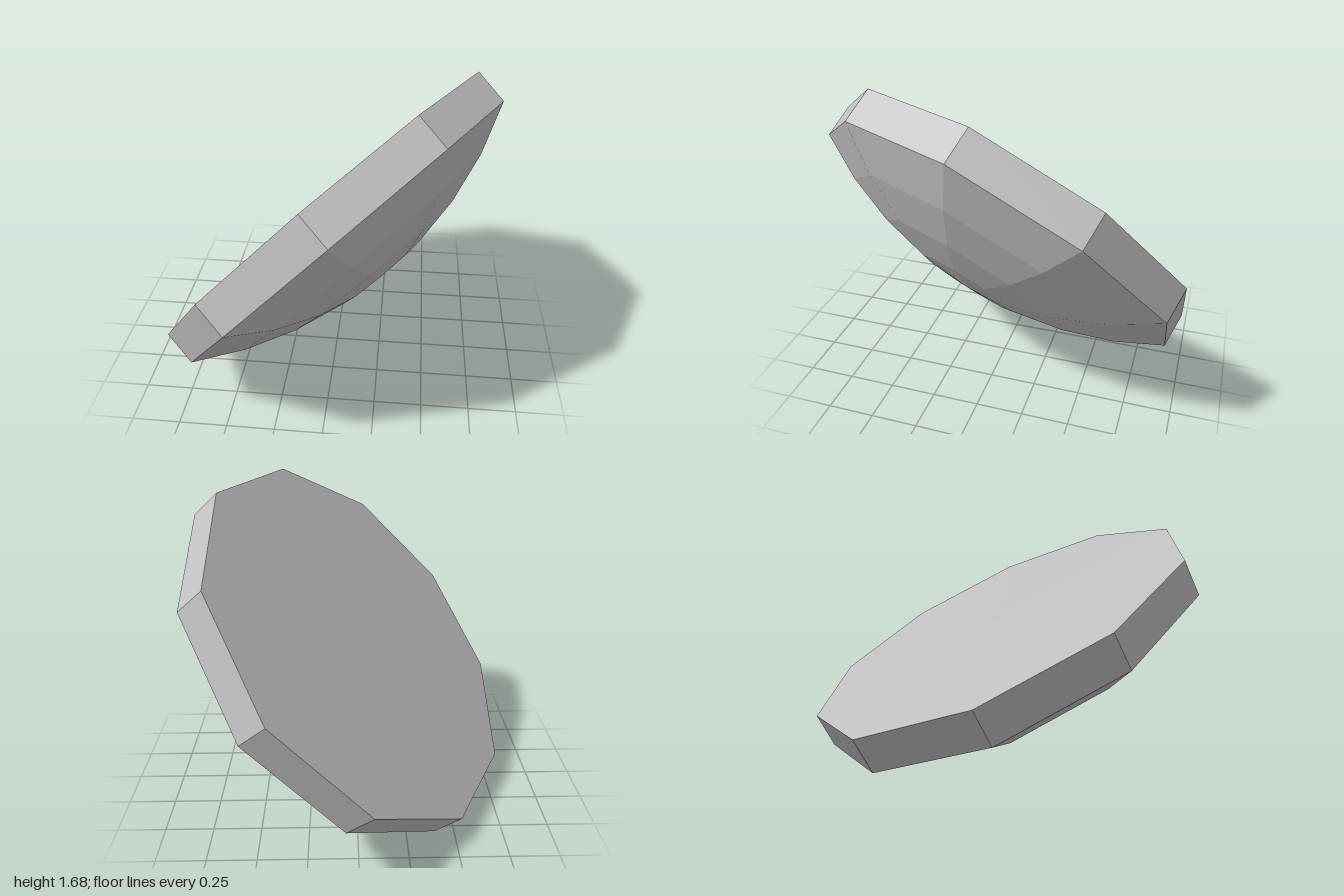
import * as THREE from 'three';

const SIDES = 10;
const RADIUS = 1.07;    // rim radius
const THICKNESS = 0.187; // height of the straight rim
const DOME = 0.3;       // depth of the shallow dome
const RINGS = 4;

export function createModel() {
  const group = new THREE.Group();
  const grey = new THREE.MeshStandardMaterial({ color: 0xc0c0c0, flatShading: true });
  grey.name = 'grey';

  const disc = new THREE.Group();
  disc.name = 'tiltedDisc';
  group.add(disc);

  const addLathe = (name, points) => {
    const mesh = new THREE.Mesh(new THREE.LatheGeometry(points, SIDES), grey);
    mesh.name = name;
    disc.add(mesh);
  };

  // Dome: spherical cap below the rim, in evenly spaced rings
  const sphere = (RADIUS * RADIUS + DOME * DOME) / (2 * DOME);
  const half = Math.asin(RADIUS / sphere);
  const cap = [];
  for (let i = 0; i <= RINGS; i++) {
    const a = (half * i) / RINGS;
    cap.push(new THREE.Vector2(
      sphere * Math.sin(a),
      sphere * (Math.cos(half) - Math.cos(a)) - THICKNESS
    ));
  }
  addLathe('dome', cap);

  // Straight ten-sided rim
  addLathe('rim', [new THREE.Vector2(RADIUS, -THICKNESS), new THREE.Vector2(RADIUS, 0)]);

  // Flat face closing the disc
  addLathe('flatFace', [new THREE.Vector2(RADIUS, 0), new THREE.Vector2(0, 0)]);

  // Tilt: local y is the flat face's normal, local z points at one rim corner
  const up = new THREE.Vector3(-0.68, 0.651, -0.338).normalize();
  const corner = new THREE.Vector3(0.745, 0.765, -0.025).projectOnPlane(up).normalize();
  const side = new THREE.Vector3().crossVectors(up, corner);
  disc.quaternion.setFromRotationMatrix(new THREE.Matrix4().makeBasis(side, up, corner));
  disc.position.set(-0.065, 0.905, -0.035);

  return group;
}
